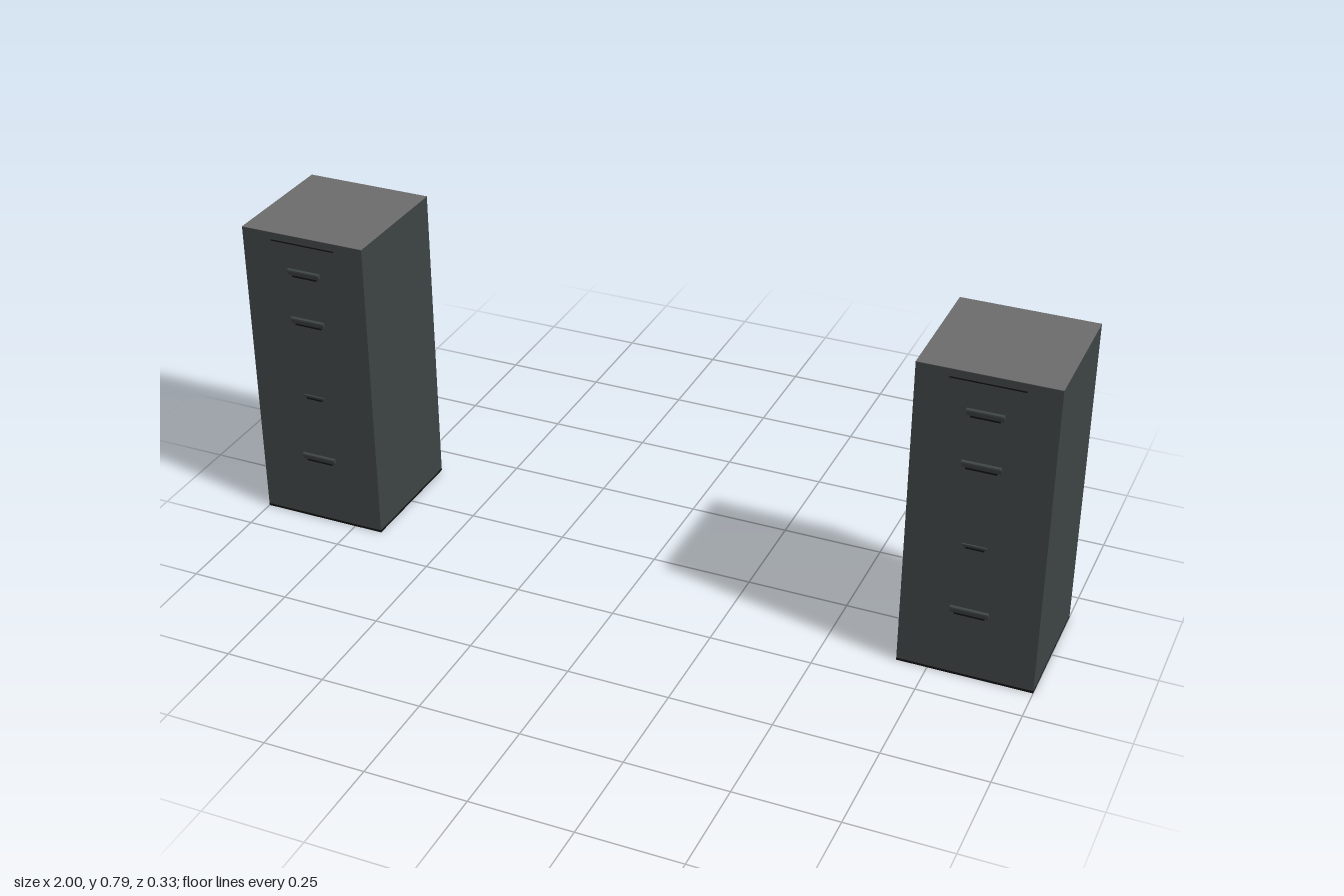
import * as THREE from 'three';

const material = (name, color) => {
  const m = new THREE.MeshStandardMaterial({ color });
  m.name = name;
  return m;
};

export function createModel() {
  const steel = material('dark slate steel', 0x3d4444);
  const grey = material('grey top', 0x6c6c6c);
  const black = material('black recess', 0x101010);

  const W = 0.324, H = 0.786, BACK = -0.164, FRONT = 0.16;
  const D = FRONT - BACK, ZC = (FRONT + BACK) / 2;

  const add = (parent, name, geometry, mat, x = 0, y = 0, z = 0) => {
    const mesh = new THREE.Mesh(geometry, mat);
    mesh.name = name;
    mesh.position.set(x, y, z);
    parent.add(mesh);
    return mesh;
  };
  const box = (w, h, d) => new THREE.BoxGeometry(w, h, d);

  // Square base rim around a shallow recess
  const rim = new THREE.Shape([[-1, -1], [1, -1], [1, 1], [-1, 1]]
    .map(([x, y]) => new THREE.Vector2(x * W / 2, y * D / 2)));
  const inner = 0.9;
  rim.holes.push(new THREE.Path([[-1, -1], [-1, 1], [1, 1], [1, -1]]
    .map(([x, y]) => new THREE.Vector2(x * W / 2 * inner, y * D / 2 * inner))));
  const rimGeometry = new THREE.ExtrudeGeometry(rim, { depth: 0.006, bevelEnabled: false });
  rimGeometry.rotateX(-Math.PI / 2);

  // Slanted pull lip, profile in z and y, extruded along x
  const lip = new THREE.Shape([[0, -0.009], [0.006, 0.003], [0.006, 0.007], [0, 0.009]]
    .map(([z, y]) => new THREE.Vector2(-z, y)));
  const pullGeometry = (w) => new THREE.ExtrudeGeometry(lip, { depth: w, bevelEnabled: false })
    .translate(0, 0, -w / 2).rotateY(Math.PI / 2);

  function cabinet() {
    const g = new THREE.Group();
    const bottom = 0.006, top = H - 0.001;
    // Casing with a black underside
    add(g, 'casing', box(W, top - bottom, D), [steel, steel, steel, black, steel, steel],
      0, (top + bottom) / 2, ZC);
    add(g, 'topPanel', box(W, 0.001, D), grey, 0, H - 0.0005, ZC);
    add(g, 'baseRim', rimGeometry, black, 0, 0, ZC);
    // Shadow gap below the lid
    add(g, 'lidGap', box(0.17, 0.003, 0.001), black, 0, 0.765, FRONT + 0.0003);

    // Drawer pulls: height and width of each
    [[0.69, 0.085], [0.56, 0.09], [0.353, 0.055], [0.178, 0.09]].forEach(([y, w], i) => {
      const drawer = new THREE.Group();
      drawer.name = 'drawerPull' + (i + 1);
      drawer.position.set(0, y, FRONT);
      const small = i === 2;
      const pull = add(drawer, 'pullLip', pullGeometry(w), steel);
      if (small) pull.scale.set(1, 0.5, 0.4);
      add(drawer, 'pullSlot', box(w * 0.8, 0.004, 0.001), black, 0, small ? -0.006 : -0.011, 0.0003);
      g.add(drawer);
    });
    return g;
  }

  const model = new THREE.Group();
  model.name = 'filingCabinets';
  [['rightCabinet', -1], ['leftCabinet', 1]].forEach(([name, side]) => {
    const c = cabinet();
    c.name = name;
    c.position.x = side * (1 - W / 2);
    model.add(c);
  });
  return model;
}
